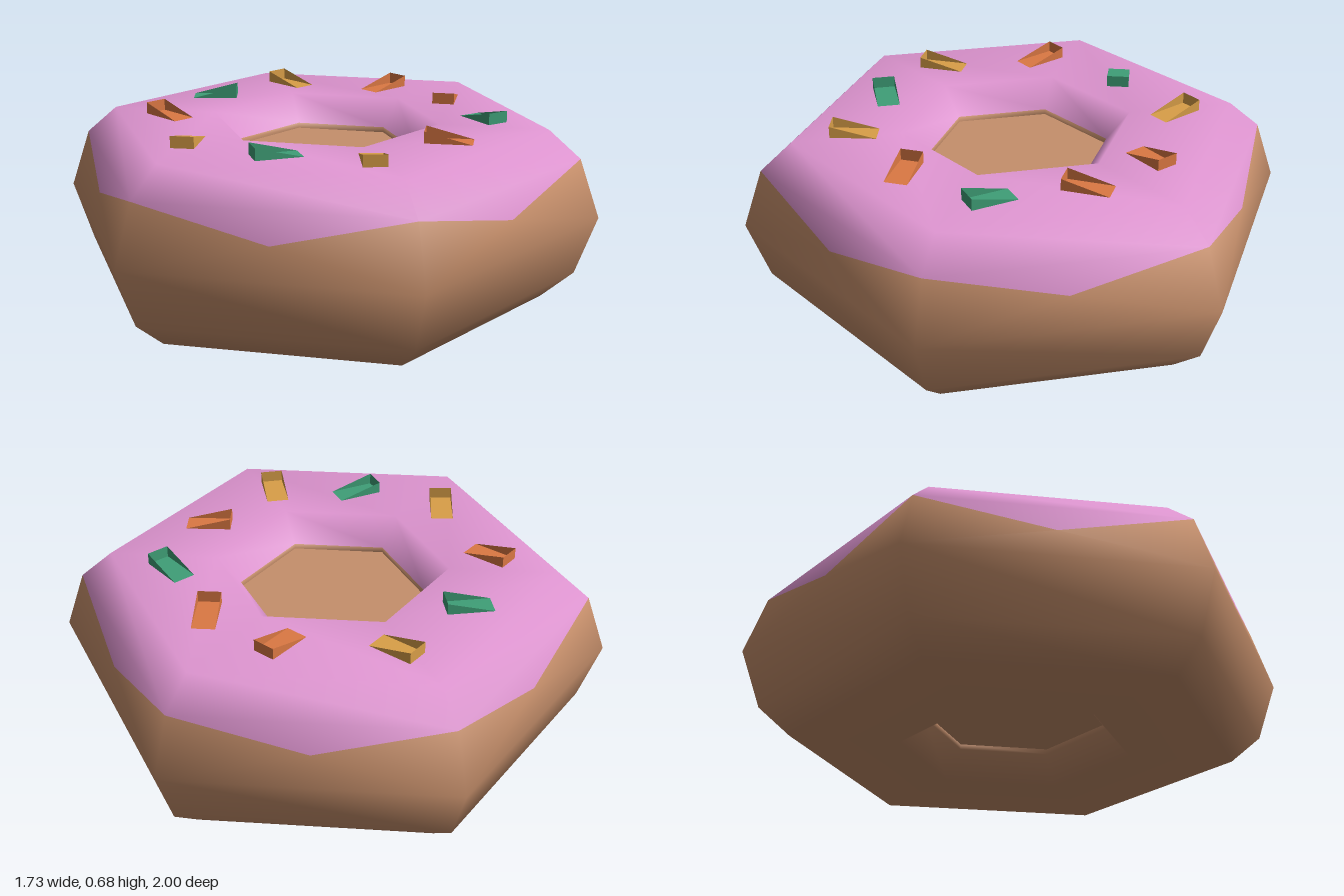
import * as THREE from 'three';

const paint = (name, color, side = THREE.FrontSide) => {
  const m = new THREE.MeshStandardMaterial({ color, side });
  m.name = name;
  return m;
};

// Six-sided ring; each profile row is [corner radius, height], inner top round to inner bottom
const SIDES = 6;
const PROFILE = [
  [0.335, 0.51], [0.335, 0.53], [0.42, 0.63], [0.81, 0.63], [0.925, 0.53], [1, 0.315],
  [0.925, 0.1], [0.81, 0], [0.42, 0], [0.335, 0.1], [0.335, 0.12],
];
const DRIP_BAND = 4;

function ringGeometry() {
  const positions = [], icing = [], dough = [];
  for (const [r, y] of PROFILE) {
    for (let i = 0; i < SIDES; i++) {
      const a = (i / SIDES) * Math.PI * 2;
      positions.push(r * Math.sin(a), y, r * Math.cos(a));
    }
  }
  // Lowest point of the icing on each side
  const firstDrip = positions.length / 3;
  const dripRadius = 0.962 * Math.cos(Math.PI / SIDES);
  for (let i = 0; i < SIDES; i++) {
    const a = ((i + 0.5) / SIDES) * Math.PI * 2;
    positions.push(dripRadius * Math.sin(a), 0.425, dripRadius * Math.cos(a));
  }
  for (let j = 0; j < PROFILE.length - 1; j++) {
    for (let i = 0; i < SIDES; i++) {
      const next = (i + 1) % SIDES;
      const a = j * SIDES + i, b = j * SIDES + next;
      const c = a + SIDES, d = b + SIDES;
      if (j === DRIP_BAND) {
        const m = firstDrip + i;
        icing.push(a, m, b);
        dough.push(a, c, m, m, c, d, m, d, b);
      } else {
        (j > 0 && j < DRIP_BAND ? icing : dough).push(a, c, d, a, d, b);
      }
    }
  }
  const g = new THREE.BufferGeometry();
  g.setAttribute('position', new THREE.Float32BufferAttribute(positions, 3));
  g.setIndex([...dough, ...icing]);
  g.addGroup(0, dough.length, 0);
  g.addGroup(dough.length, icing.length, 1);
  g.computeVertexNormals();
  return g;
}

// Open scoop: flat floor, two tapering sides and one tall end at +z
function sprinkleGeometry() {
  const w = 0.041, l = 0.083, h = 0.045;
  const A = [-w, 0.003, -l], B = [w, 0.003, -l], C = [w, 0.003, l], D = [-w, 0.003, l];
  const E = [w, h, l], F = [-w, h, l];
  const triangles = [
    A, D, C, A, C, B, // floor
    D, C, E, D, E, F, // tall end
    B, E, C, A, D, F, // sides
  ];
  const g = new THREE.BufferGeometry();
  g.setAttribute('position', new THREE.Float32BufferAttribute(triangles.flat(), 3));
  g.computeVertexNormals();
  return g;
}

export function createModel() {
  const model = new THREE.Group();
  model.name = 'doughnut';
  const dough = paint('dough brown', 0xc68f6b);
  const icing = paint('icing pink', 0xe096d2);
  const green = paint('sprinkle green', 0x3f9f77, THREE.DoubleSide);
  const orange = paint('sprinkle orange', 0xdb7843, THREE.DoubleSide);
  const gold = paint('sprinkle gold', 0xd99f48, THREE.DoubleSide);

  const add = (name, geometry, material, y = 0) => {
    const mesh = new THREE.Mesh(geometry, material);
    mesh.name = name;
    mesh.position.y = y;
    model.add(mesh);
    return mesh;
  };

  add('icedRing', ringGeometry(), [dough, icing]);

  // Flat discs closing the hole above and below
  const disc = new THREE.CircleGeometry(0.335, SIDES, Math.PI / 2);
  add('upperCentre', disc, dough, 0.51).rotation.x = -Math.PI / 2;
  add('lowerCentre', disc, dough, 0.12).rotation.x = Math.PI / 2;

  // Sprinkles: x, z, direction of the tall end (x, z), colour
  const scoop = sprinkleGeometry();
  const sprinkles = [
    [0.04, -0.58, -0.45, -0.9, gold],
    [0.37, -0.39, 0.9, -0.43, orange],
    [0.53, -0.13, -0.48, 0.87, orange],
    [0.54, 0.2, 0.25, 0.97, green],
    [0.3, 0.45, -0.89, -0.46, orange],
    [-0.025, 0.585, -0.25, 0.97, gold],
    [-0.31, 0.44, -1, 0, green],
    [-0.55, 0.185, -0.44, 0.9, gold],
    [-0.535, -0.2, -0.45, -0.9, orange],
    [-0.3, -0.46, 0.95, 0.3, green],
  ];
  sprinkles.forEach(([x, z, dx, dz, material], i) => {
    const mesh = add(`sprinkle${i + 1}`, scoop, material);
    mesh.position.set(x, 0.63, z);
    mesh.rotation.y = Math.atan2(dx, dz);
  });
  return model;
}
